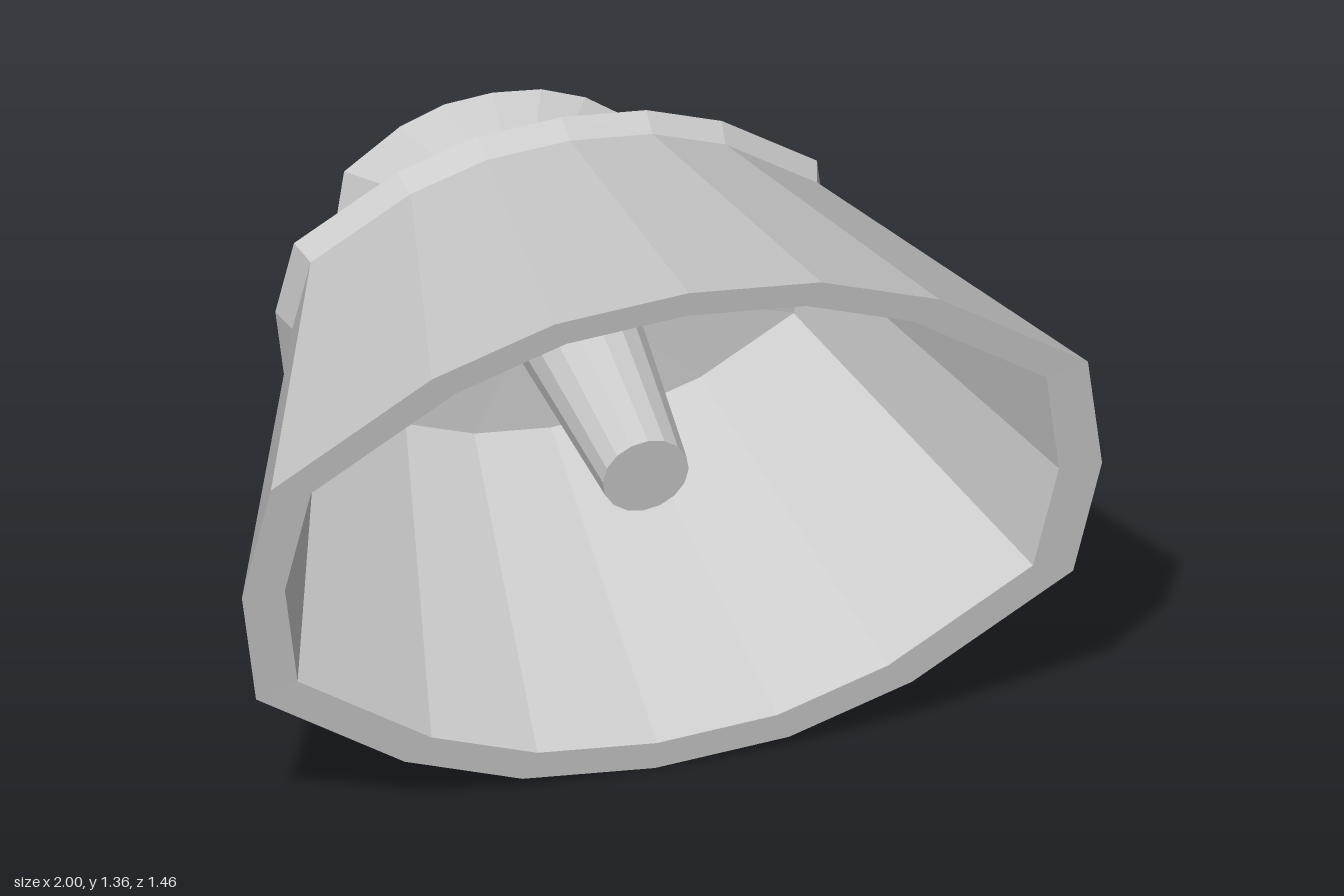
import * as THREE from 'three';

// One quarter of the 16-sided oval outline (counter-clockwise from +x)
const QUARTER = [[1, 0], [0.95, 0.44], [0.59, 0.805], [0.31, 0.957]];
const OUTLINE = [
  ...QUARTER,
  [0, 1],
  ...QUARTER.slice(1).reverse().map(([x, y]) => [-x, y]),
  ...QUARTER.map(([x, y]) => [-x, -y]),
  [0, -1],
  ...QUARTER.slice(1).reverse().map(([x, y]) => [x, -y]),
];
const ASPECT = 0.68;

const material = new THREE.MeshStandardMaterial({ color: 0xcccccc, flatShading: true });

// Section: [half width, centre y, centre z, tilt (dz per dy)]; half width 0 makes a point
function loft(name, sections) {
  const rings = sections.map(([s, cy, cz, tilt]) => OUTLINE.map(([x, y]) => {
    const dy = y * s * ASPECT;
    return [x * s, cy + dy, cz + dy * tilt];
  }));
  const pos = [];
  const n = OUTLINE.length;
  for (let r = 0; r < rings.length - 1; r++) {
    for (let i = 0; i < n; i++) {
      const j = (i + 1) % n;
      const a = rings[r][i], b = rings[r][j], c = rings[r + 1][j], d = rings[r + 1][i];
      if (sections[r + 1][0] > 0) pos.push(...a, ...d, ...c);
      if (sections[r][0] > 0) pos.push(...a, ...c, ...b);
    }
  }
  const geometry = new THREE.BufferGeometry();
  geometry.setAttribute('position', new THREE.Float32BufferAttribute(pos, 3));
  geometry.computeVertexNormals();
  const mesh = new THREE.Mesh(geometry, material);
  mesh.name = name;
  return mesh;
}

export function createModel() {
  const group = new THREE.Group();
  group.name = 'lamp';

  // Hollow bowl: inner back wall, inner side, rim, outer side, back lip, back cone
  group.add(loft('reflectorBowl', [
    [0, 0.83, -0.28, 0],
    [0.58, 0.84, -0.22, 0.19],
    [0.9, 0.685, 0.605, 0.184],
    [1, 0.682, 0.605, 0.184],
    [0.62, 0.84, -0.235, 0.195],
    [0.64, 0.852, -0.298, 0.189],
    [0.05, 0.743, -0.385, 0],
  ]));

  // Thin slanted stem
  group.add(loft('stem', [
    [0.05, 0.743, -0.385, 0],
    [0.05, 0.828, -0.53, -0.04],
  ]));

  // Flared mount with a flat back
  group.add(loft('mount', [
    [0.05, 0.828, -0.53, -0.04],
    [0.365, 0.815, -0.72, -0.04],
    [0, 0.815, -0.72, 0],
  ]));

  // Tapered bulb along the bowl's axis
  const bulb = new THREE.Mesh(new THREE.CylinderGeometry(0.1, 0.155, 0.67, 16), material);
  bulb.name = 'bulb';
  bulb.position.set(0, 0.772, 0.08);
  bulb.rotation.x = Math.PI / 2 + 0.173;
  group.add(bulb);

  return group;
}
